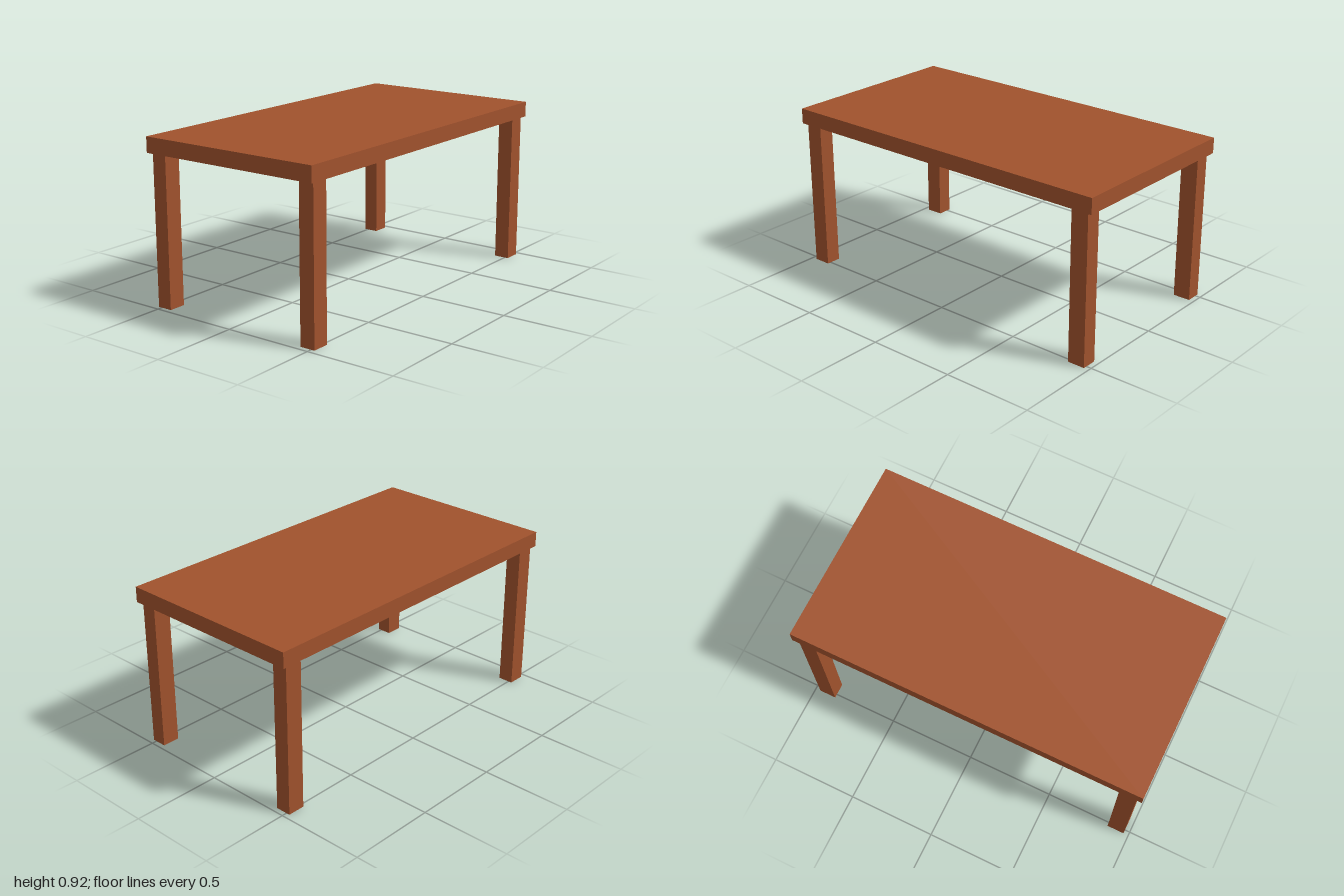
import * as THREE from 'three';

const TOP_Y = 0.92, UNDER_Y = 0.834;

export function createModel() {
  const table = new THREE.Group();
  table.name = 'table';
  const wood = new THREE.MeshStandardMaterial({ color: 0xa0522d, side: THREE.DoubleSide });
  wood.name = 'brown wood';

  // Thick flat slab
  const top = new THREE.Mesh(new THREE.BoxGeometry(1.07, TOP_Y - UNDER_Y, 2), wood);
  top.name = 'tableTop';
  top.position.y = (TOP_Y + UNDER_Y) / 2;
  table.add(top);

  // Hollow square leg: keep the four side faces, leave the ends open
  const legShape = new THREE.BoxGeometry(0.086, UNDER_Y, 0.098);
  const index = Array.from(legShape.index.array);
  legShape.setIndex([...index.slice(0, 12), ...index.slice(24)]);
  legShape.clearGroups();

  for (const [zName, z] of [['front', 0.922], ['back', -0.922]]) {
    for (const [xName, x] of [['Left', 0.478], ['Right', -0.478]]) {
      const leg = new THREE.Mesh(legShape, wood);
      leg.name = `${zName}${xName}Leg`;
      leg.position.set(x, UNDER_Y / 2, z);
      table.add(leg);
    }
  }
  return table;
}
